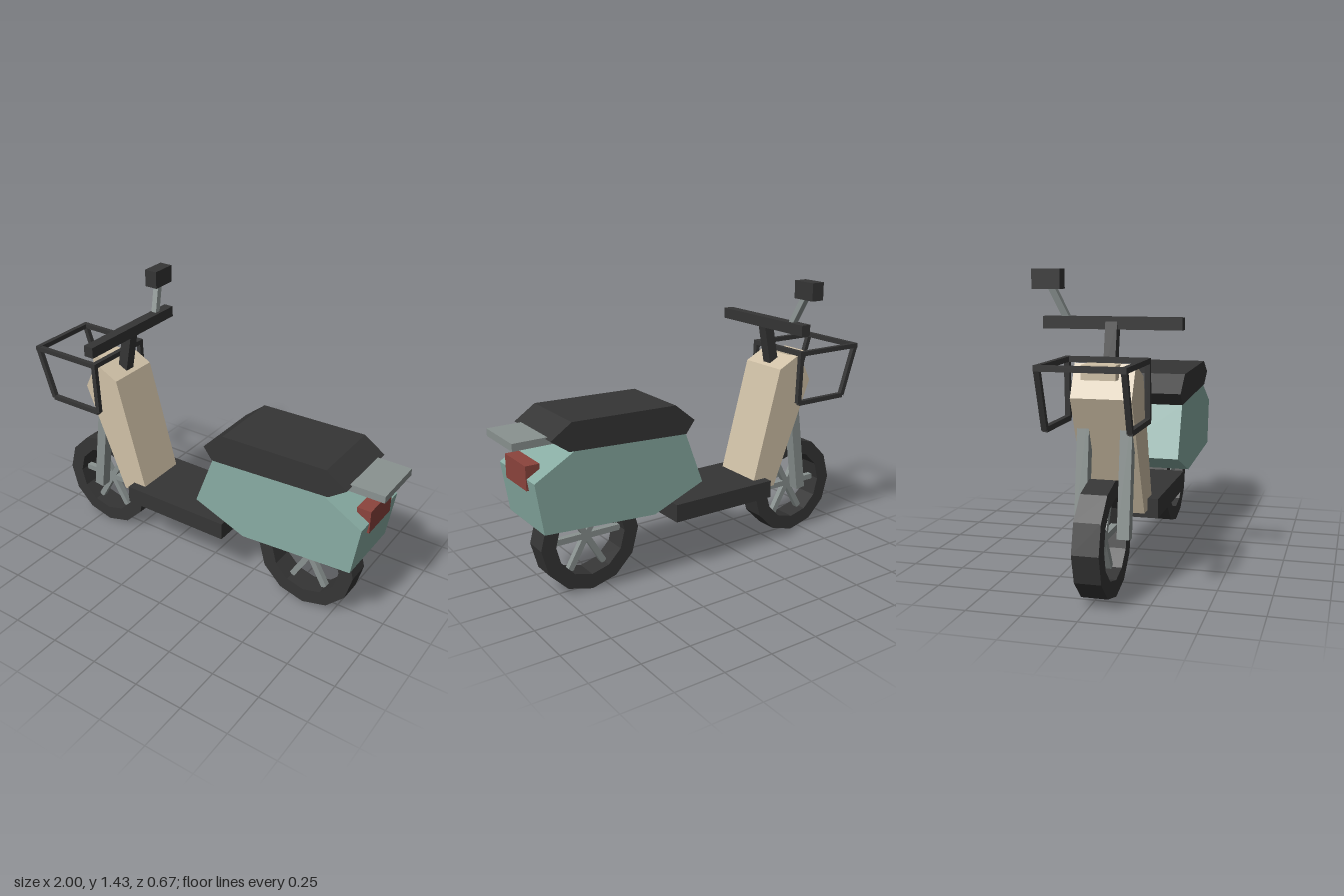
import * as THREE from 'three';

const MID = 0.018; // z of the scooter's centre plane

export function createModel() {
  const mat = (name, color) => {
    const m = new THREE.MeshStandardMaterial({ color });
    m.name = name;
    return m;
  };
  const black = mat('black', 0x353535);
  const grey = mat('grey', 0x8a9290);
  const teal = mat('teal', 0x88aca3);
  const cream = mat('cream', 0xd0c1a7);
  const red = mat('red', 0x8c443d);

  const model = new THREE.Group();
  model.name = 'scooter';
  const add = (name, geo, material, parent = model) => {
    const mesh = new THREE.Mesh(geo, material);
    mesh.name = name;
    parent.add(mesh);
    return mesh;
  };

  // box given by its min and max corners
  const box = (name, material, a, b) => {
    const g = new THREE.BoxGeometry(b[0] - a[0], b[1] - a[1], b[2] - a[2]);
    g.translate((a[0] + b[0]) / 2, (a[1] + b[1]) / 2, (a[2] + b[2]) / 2);
    return add(name, g, material);
  };

  // square bar between two points
  const bar = (name, material, a, b, w, parent = model) => {
    const p = new THREE.Vector3(...a), q = new THREE.Vector3(...b);
    const dir = q.clone().sub(p);
    const mesh = add(name, new THREE.BoxGeometry(w, dir.length(), w), material, parent);
    mesh.position.copy(p).add(q).multiplyScalar(0.5);
    mesh.quaternion.setFromUnitVectors(new THREE.Vector3(0, 1, 0), dir.normalize());
    return mesh;
  };

  // side profile extruded across the width
  const slab = (name, material, pts, width) => {
    const shape = new THREE.Shape(pts.map(([x, y]) => new THREE.Vector2(x, y)));
    const g = new THREE.ExtrudeGeometry(shape, { depth: width, bevelEnabled: false });
    g.translate(0, 0, MID - width / 2);
    return add(name, g, material);
  };

  // wheels: twelve-sided tyre with three spokes through the middle
  const ring = (r) => Array.from({ length: 12 }, (_, i) =>
    new THREE.Vector2(r * Math.cos(i * Math.PI / 6), r * Math.sin(i * Math.PI / 6)));
  const tyreShape = new THREE.Shape(ring(0.264));
  tyreShape.holes.push(new THREE.Path(ring(0.187)));
  const tyre = new THREE.ExtrudeGeometry(tyreShape, { depth: 0.12, bevelEnabled: false });
  tyre.translate(0, 0, -0.06);
  for (const [name, x] of [['frontWheel', -0.685], ['rearWheel', 0.588]]) {
    const wheel = new THREE.Group();
    wheel.name = name;
    wheel.position.set(x, 0.264, MID);
    model.add(wheel);
    add('tyre', tyre, black, wheel);
    for (let i = 0; i < 3; i++) {
      const c = 0.2 * Math.cos(i * Math.PI / 3), s = 0.2 * Math.sin(i * Math.PI / 3);
      bar('spoke', grey, [-c, -s, 0], [c, s, 0], 0.03, wheel);
    }
  }

  // front fork
  for (const s of [-1, 1])
    bar('fork', grey, [-0.687, 0.268, MID + s * 0.098], [-0.605, 0.88, MID + s * 0.098], 0.055);

  // front shield and lamp
  slab('frontShield', cream, [[-0.483, 0.33], [-0.34, 0.33], [-0.345, 0.38],
    [-0.505, 0.964], [-0.635, 1.03], [-0.708, 0.884]], 0.276);
  box('headlight', cream, [-0.715, 0.965, -0.067], [-0.61, 1.03, 0.087]);

  // footboard
  box('footboard', black, [-0.42, 0.293, -0.17], [0.177, 0.385, 0.205]);

  // rear body and seat
  slab('rearBody', teal, [[0.122, 0.742], [0.024, 0.478], [0.302, 0.366],
    [0.888, 0.403], [0.926, 0.655], [0.722, 0.772]], 0.373);
  slab('seat', black, [[0.12, 0.742], [0.75, 0.772], [0.84, 0.836],
    [0.733, 0.908], [0.181, 0.895], [0.072, 0.805]], 0.376);
  box('tailRack', grey, [0.74, 0.807, -0.12], [1.0, 0.843, 0.156]);
  box('tailLight', red, [0.86, 0.6, -0.09], [0.93, 0.717, 0.128]);

  // steering
  bar('steeringStem', black, [-0.555, 0.97, MID], [-0.51, 1.2, MID], 0.054);
  box('handlebar', black, [-0.535, 1.17, -0.3], [-0.482, 1.225, 0.337]);
  bar('mirrorStalk', grey, [-0.51, 1.2, -0.185], [-0.543, 1.38, -0.265], 0.03);
  box('mirror', black, [-0.58, 1.346, -0.335], [-0.51, 1.435, -0.204]);

  // basket: two side frames joined by rails at the top
  const corners = [[-0.985, 1.043], [-0.605, 1.043], [-0.595, 0.78], [-0.9, 0.78]];
  for (const s of [-1, 1])
    corners.forEach((c, i) => {
      const n = corners[(i + 1) % 4], z = MID + s * 0.182;
      bar('basketSide', black, [...c, z], [...n, z], 0.024);
    });
  for (const c of corners.slice(0, 2))
    bar('basketRail', black, [...c, MID - 0.194], [...c, MID + 0.194], 0.025);

  return model;
}
